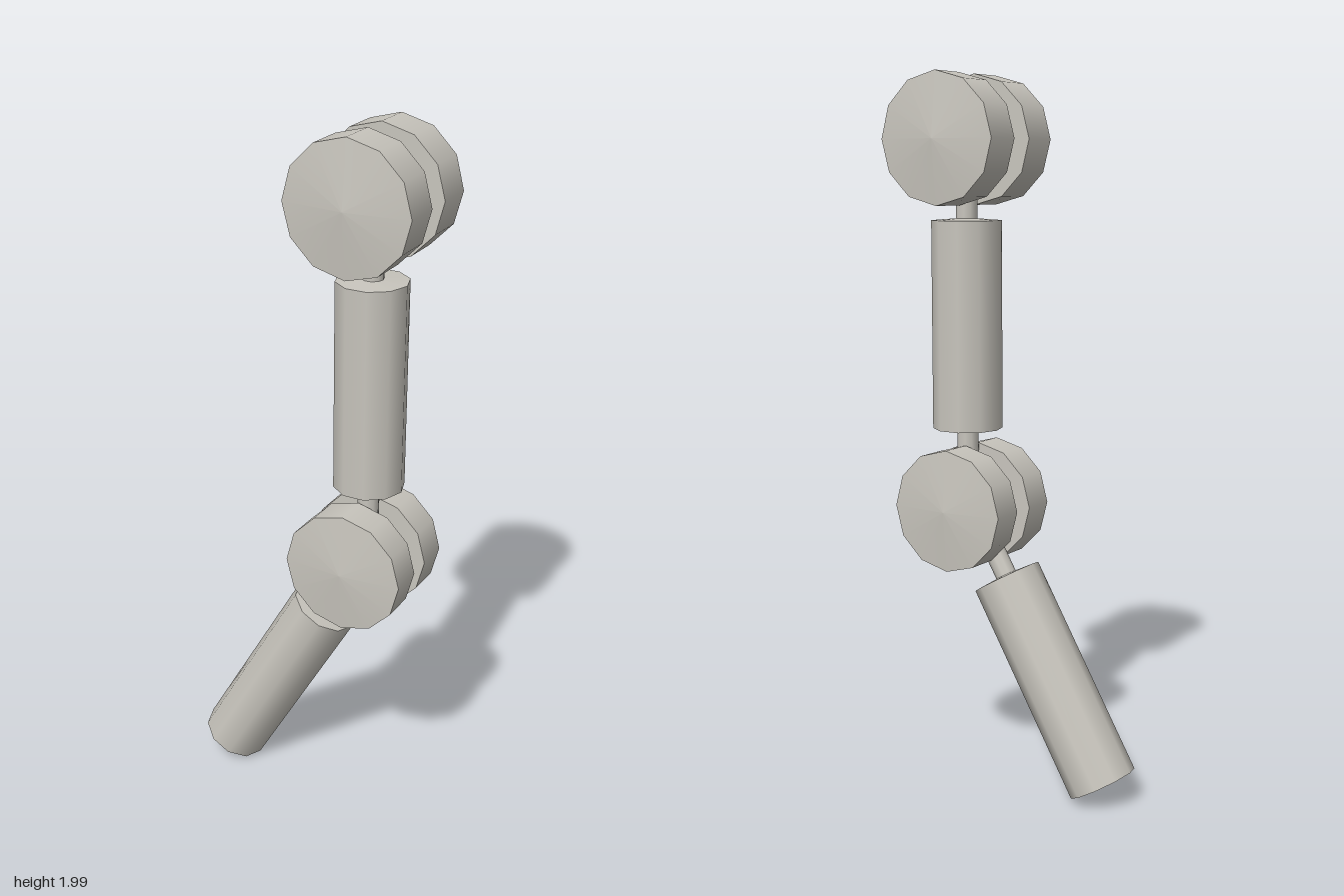
import * as THREE from 'three';
import { mergeGeometries } from 'three/addons/utils/BufferGeometryUtils.js';

const steel = new THREE.MeshStandardMaterial({ color: 0xc8c5bd });
steel.name = 'warm grey';

// Closed cylinder along y with shallow conical ends of height top / bottom
function cappedCylinder(radius, length, sides, top, bottom) {
  const start = Math.PI / 2;
  const wall = new THREE.CylinderGeometry(radius, radius, length, sides, 1, true, start);
  const end = (h) => (h > 0
    ? new THREE.ConeGeometry(radius, h, sides, 1, true, start).translate(0, length / 2 + h / 2, 0)
    : new THREE.CircleGeometry(radius, sides).rotateX(-Math.PI / 2).translate(0, length / 2, 0));
  return mergeGeometries([wall, end(top), end(bottom).rotateX(Math.PI)]);
}

function addPart(parent, name, geometry) {
  const mesh = new THREE.Mesh(geometry, steel);
  mesh.name = name;
  parent.add(mesh);
  return mesh;
}

// Hinge: two domed discs joined by a narrow axle along z
function addJoint(parent, name, x, y, radius, inner, outer, tip) {
  const joint = new THREE.Group();
  joint.name = name;
  joint.position.set(x, y, 0);
  for (const side of [1, -1]) {
    const disc = cappedCylinder(radius, outer - inner, 12, tip - outer, 0);
    disc.rotateX(side * Math.PI / 2).translate(0, 0, side * (inner + outer) / 2);
    addPart(joint, side > 0 ? 'frontDisc' : 'backDisc', disc);
  }
  addPart(joint, 'axle', cappedCylinder(0.07, inner * 2 + 0.01, 12, 0, 0).rotateX(Math.PI / 2));
  parent.add(joint);
}

// Straight bar between two points in the x-y plane
function addBar(parent, name, [x1, y1], [x2, y2], radius, cap) {
  const length = Math.hypot(x2 - x1, y2 - y1);
  const bar = addPart(parent, name, cappedCylinder(radius, length, 10, cap, cap));
  bar.position.set((x1 + x2) / 2, (y1 + y2) / 2, 0);
  bar.rotation.z = -Math.atan2(x2 - x1, y2 - y1);
}

export function createModel() {
  const model = new THREE.Group();
  model.name = 'jointedArm';

  // Shoulder and elbow hinges
  addJoint(model, 'shoulderJoint', 0.176, 1.823, 0.178, 0.037, 0.15, 0.169);
  addJoint(model, 'elbowJoint', 0.165, 0.804, 0.172, 0.032, 0.13, 0.146);

  // Upper arm with its connecting pins
  addBar(model, 'upperArm', [0.178, 1.022], [0.178, 1.604], 0.098, 0.007);
  addBar(model, 'shoulderPin', [0.178, 1.6], [0.176, 1.8], 0.03, 0);
  addBar(model, 'elbowUpperPin', [0.176, 0.82], [0.178, 1.03], 0.03, 0);

  // Forearm, bent at the elbow
  addBar(model, 'forearm', [-0.268, 0.055], [0.048, 0.606], 0.098, 0.007);
  addBar(model, 'elbowLowerPin', [0.045, 0.6], [0.152, 0.786], 0.03, 0);

  return model;
}
